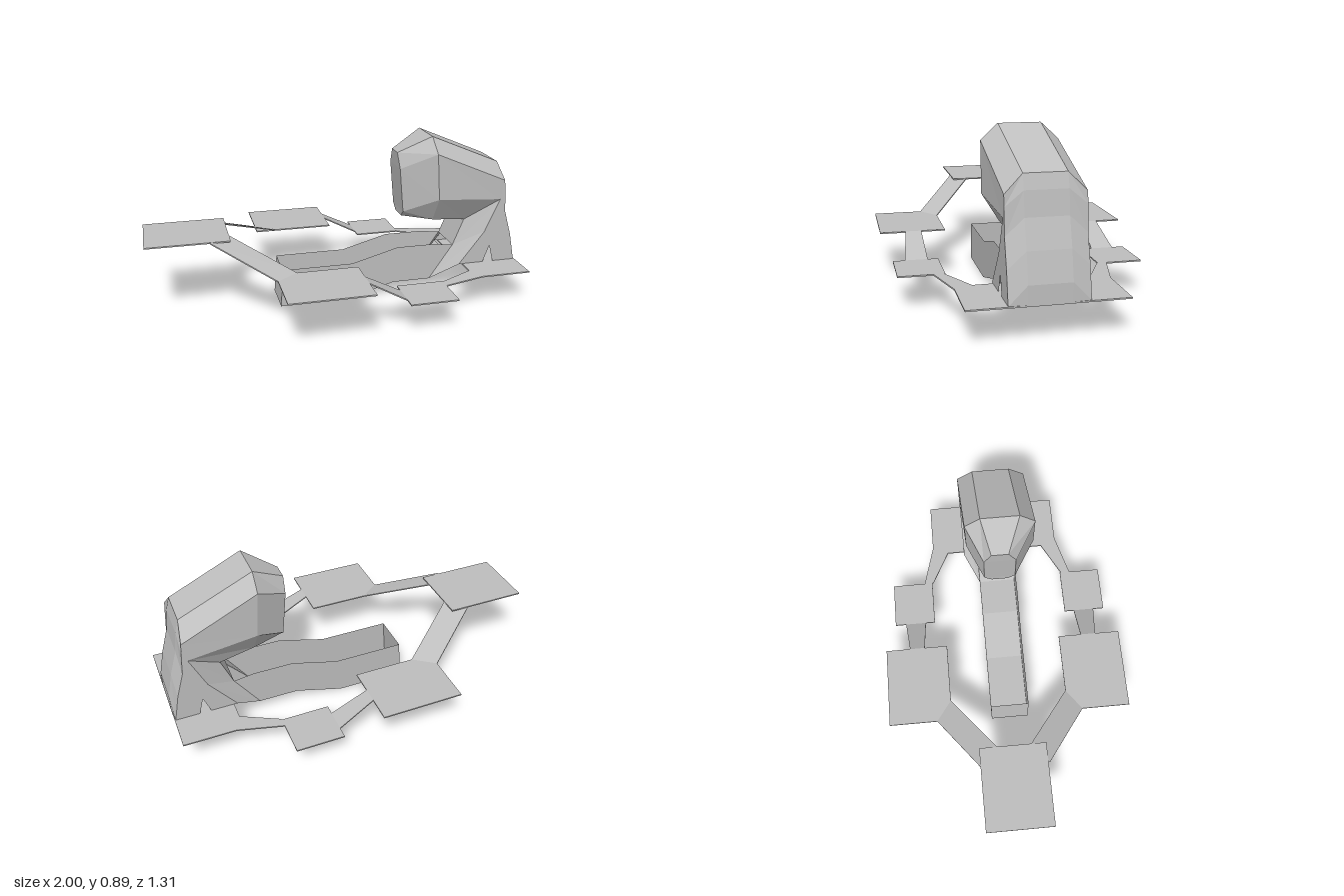
import * as THREE from 'three';

const grey = new THREE.MeshStandardMaterial({ color: 0xbebebe });
grey.name = 'plainGrey';
grey.side = THREE.DoubleSide;
grey.flatShading = true;

// faceted sheet between two polylines of equal length
function sheet(a, b) {
  const out = [];
  for (let i = 0; i + 1 < a.length; i++) {
    out.push(...a[i], ...a[i + 1], ...b[i + 1], ...a[i], ...b[i + 1], ...b[i]);
  }
  return out;
}
const at = (profile, z) => profile.map(([x, y]) => [x, y, z]);
const mirror = (pts) => pts.map(([x, y, z]) => [x, y, -z]);

function addMesh(parent, name, positions) {
  const g = new THREE.BufferGeometry();
  g.setAttribute('position', new THREE.Float32BufferAttribute(positions, 3));
  g.computeVertexNormals();
  const m = new THREE.Mesh(g, grey);
  m.name = name;
  parent.add(m);
}

// thin slab from four top corners [x, y, z] in order
function slab(parent, name, c) {
  const low = c.map(([x, y, z]) => [x, y - 0.007, z]);
  addMesh(parent, name, [
    ...sheet([c[0], c[1]], [c[3], c[2]]),
    ...sheet([low[0], low[1]], [low[3], low[2]]),
    ...sheet([...c, c[0]], [...low, low[0]]),
  ]);
}
function platform(parent, name, x0, x1, z0, z1, y) {
  slab(parent, name, [[x0, y, z0], [x1, y, z0], [x1, y, z1], [x0, y, z1]]);
}

export function createModel() {
  const model = new THREE.Group();
  model.name = 'channelAndWalkways';

  // ring of platforms
  const walk = new THREE.Group();
  walk.name = 'walkways';
  model.add(walk);
  platform(walk, 'highPlatform', -1, -0.57, -0.188, 0.163, 0.426);
  platform(walk, 'basePlatform', 0.69, 1, -0.37, 0.37, 0.182);
  for (const s of [1, -1]) {
    const o = -0.006; // ring sits slightly towards the back
    const z = (v) => v * s + o;
    platform(walk, 'middlePlatform', -0.37, 0.06, z(0.317), z(0.657), 0.281);
    platform(walk, 'lowPlatform', 0.25, 0.5, z(0.382), z(0.61), 0.182);
    slab(walk, 'upperRamp', [[-0.675, 0.426, z(0.176)], [-0.57, 0.426, z(0.09)],
      [-0.26, 0.281, z(0.317)], [-0.37, 0.281, z(0.398)]]);
    slab(walk, 'middleRamp', [[0.06, 0.281, z(0.443)], [0.25, 0.182, z(0.435)],
      [0.25, 0.182, z(0.55)], [0.06, 0.281, z(0.525)]]);
    slab(walk, 'lowerLink', [[0.5, 0.182, s * 0.382], [0.69, 0.182, s * 0.282],
      [0.73, 0.182, s * 0.37], [0.5, 0.182, s * 0.433]]);
  }

  // open channel: floor, side walls and end wall
  const floor = at([[-0.31, 0], [0.06, 0], [0.32, 0.076], [0.53, 0.076]], 0.105);
  const rim = at([[-0.295, 0.21], [0.085, 0.21], [0.34, 0.28], [0.55, 0.28]], 0.105);
  const channel = [
    ...sheet(floor, mirror(floor)),
    ...sheet(floor, rim),
    ...sheet(mirror(floor), mirror(rim)),
    ...sheet([floor[0], rim[0]], mirror([floor[0], rim[0]])),
  ];
  // flaring floor up to the base platform
  const flare = [floor[3], [0.67, 0.18, 0.185]];
  channel.push(...sheet(flare, mirror(flare)));
  addMesh(model, 'openChannel', channel);

  // curved back shell and the legs reaching down to the channel
  const backInner = at([[0.895, 0.73], [0.915, 0.66], [0.93, 0.545], [0.97, 0.41], [1, 0.27], [1, 0.18]], 0.1);
  const backOuter = at([[0.91, 0.645], [0.915, 0.59], [0.925, 0.465], [0.965, 0.33], [0.995, 0.18], [0.995, 0.18]], 0.185);
  const shellFront = at([[0.89, 0.54], [0.885, 0.51], [0.865, 0.4], [0.845, 0.275], [0.87, 0.18], [0.87, 0.18]], 0.185);
  const legBack = at([[0.89, 0.54], [0.845, 0.275], [0.81, 0.18]], 0.185);
  const crease = at([[0.89, 0.54], [0.81, 0.36], [0.67, 0.18]], 0.185);
  const throat = at([[0.72, 0.412], [0.66, 0.265], [0.53, 0.076]], 0.105);
  const shell = sheet(backInner, mirror(backInner));
  const legs = sheet(throat.slice(0, 2), mirror(throat.slice(0, 2)));
  for (const side of [(p) => p, mirror]) {
    shell.push(...sheet(side(backInner), side(backOuter)));
    shell.push(...sheet(side(backOuter), side(shellFront)));
    legs.push(...sheet(side(legBack), side(crease)));
    legs.push(...sheet(side(crease), side(throat)));
    legs.push(...side([floor[3], rim[3], throat[1]]).flat());
  }
  addMesh(model, 'backShell', shell);
  addMesh(model, 'neckLegs', legs);

  // eight-sided hood; each station lists [x, y, half width] down one side, with a z offset
  const station = (pts, dz) => {
    const right = pts.map(([x, y, w]) => [x, y, w + dz]);
    const left = pts.map(([x, y, w]) => [x, y, dz - w]).reverse();
    return [...right, ...left, right[0]];
  };
  const tip = station([[0.342, 0.8, 0.045], [0.347, 0.72, 0.085], [0.37, 0.48, 0.085], [0.372, 0.445, 0.045]], 0.005);
  const brow = station([[0.508, 0.895, 0.103], [0.512, 0.818, 0.186], [0.53, 0.57, 0.186], [0.53, 0.432, 0.1]], 0.02);
  const rear = station([[0.895, 0.73, 0.1], [0.91, 0.645, 0.185], [0.89, 0.54, 0.185], [0.72, 0.412, 0.105]], 0);
  const hood = [...sheet(tip, brow), ...sheet(brow, rear)];
  hood.push(...sheet(tip.slice(0, 4), tip.slice(4, 8).reverse()));
  addMesh(model, 'hood', hood);

  return model;
}
